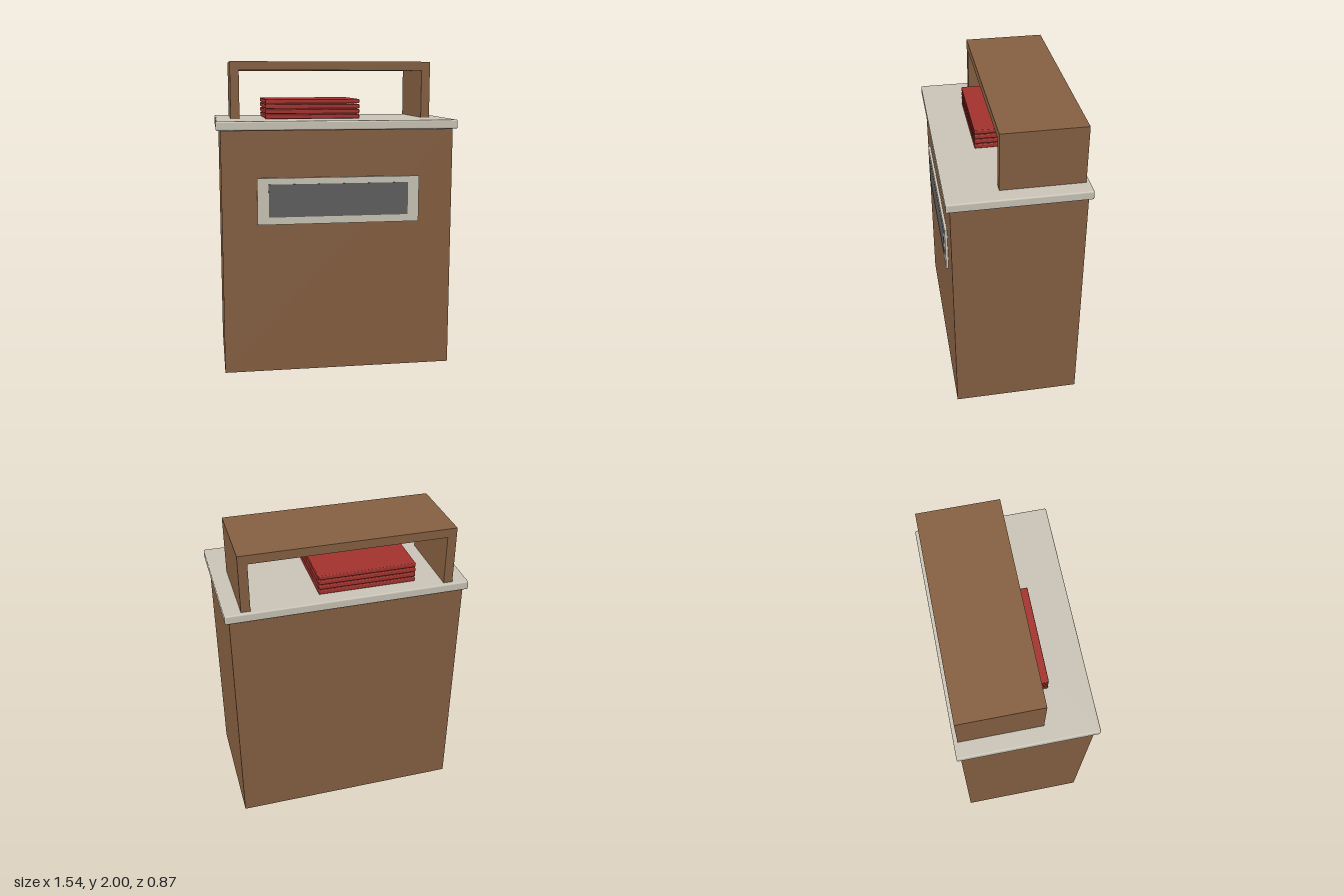
import * as THREE from 'three';
import { RoundedBoxGeometry } from 'three/addons/geometries/RoundedBoxGeometry.js';

const material = (name, color) => {
  const m = new THREE.MeshStandardMaterial({ color });
  m.name = name;
  return m;
};

export function createModel() {
  const group = new THREE.Group();
  group.name = 'counterStand';

  const wood = material('brown wood', 0x855f41);
  const stone = material('pale stone', 0xc9c4b6);
  const dark = material('dark grey', 0x605f60);
  const red = material('red', 0xa3322d);

  // Box given by its min and max corners; a radius rounds the edges
  const box = (name, mat, [x0, y0, z0], [x1, y1, z1], radius = 0) => {
    const size = [x1 - x0, y1 - y0, z1 - z0];
    const geometry = radius
      ? new RoundedBoxGeometry(...size, 2, radius)
      : new THREE.BoxGeometry(...size);
    const mesh = new THREE.Mesh(geometry, mat);
    mesh.name = name;
    mesh.position.set((x0 + x1) / 2, (y0 + y1) / 2, (z0 + z1) / 2);
    group.add(mesh);
  };

  // Cabinet and countertop
  box('cabinet', wood, [-0.745, 0, -0.41], [0.745, 1.575, 0.41]);
  box('countertop', stone, [-0.772, 1.57, -0.435], [0.772, 1.628, 0.435], 0.01);

  // Front panel with its dark inset
  box('panelFrame', stone, [-0.522, 0.973, 0.405], [0.522, 1.27, 0.426]);
  box('panelInset', dark, [-0.45, 1.02, 0.42], [0.45, 1.23, 0.428]);

  // Raised shelf, open at front and back
  const arch = new THREE.Shape();
  [[-0.67, 1.626], [-0.612, 1.626], [-0.612, 1.943], [0.612, 1.943],
    [0.612, 1.626], [0.67, 1.626], [0.67, 2], [-0.67, 2]]
    .forEach(([x, y], i) => (i ? arch.lineTo(x, y) : arch.moveTo(x, y)));
  arch.closePath();
  const shelf = new THREE.Mesh(
    new THREE.ExtrudeGeometry(arch, { depth: 0.52, bevelEnabled: false }), wood);
  shelf.name = 'raisedShelf';
  shelf.position.z = -0.41;
  group.add(shelf);

  // Stack of folders under the shelf
  for (let i = 0; i < 4; i++) {
    const y = 1.628 + i * 0.0333;
    box(`folder${i + 1}`, red, [-0.447, y, -0.34], [0.175, y + 0.028, 0.182], 0.006);
  }

  return group;
}
